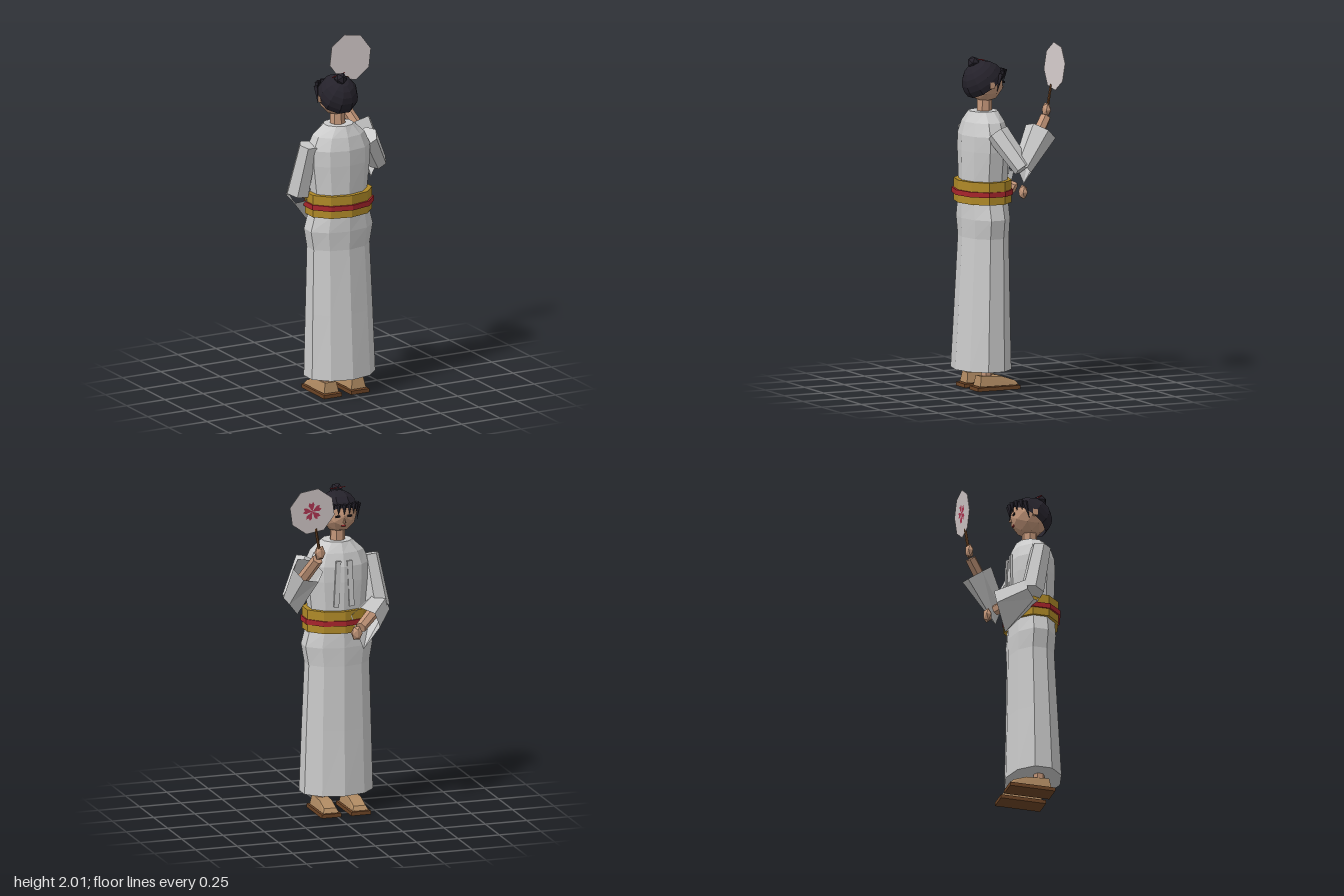
import * as THREE from 'three';

const material = (color, side = THREE.FrontSide) => new THREE.MeshStandardMaterial({ color, flatShading: true, side });
const cloth = material(0xcccccc, THREE.DoubleSide);
const skin = material(0xc4977a);
const hairMat = material(0x25222b, THREE.DoubleSide);
const gold = material(0xb08a28);
const red = material(0xa8252c);
const wood = material(0x6e4526);
const sock = material(0xb08a62);
const paper = material(0xd2c9c9, THREE.DoubleSide);
const pink = material(0xb03552, THREE.DoubleSide);
const dark = material(0x1c181c);
const V = (x, y, z) => new THREE.Vector3(x, y, z);

// Skin over a series of equal-sized rings of points
function loft(rings, capped = true) {
  const n = rings[0].length, index = [];
  const pos = rings.flat().flatMap(p => [p.x, p.y, p.z]);
  for (let r = 0; r < rings.length - 1; r++) {
    for (let i = 0; i < n; i++) {
      const a = r * n + i, b = r * n + (i + 1) % n;
      index.push(a, b, b + n, a, b + n, a + n);
    }
  }
  const last = (rings.length - 1) * n;
  for (let i = 1; capped && i < n - 1; i++) index.push(0, i + 1, i, last, last + i, last + i + 1);
  const g = new THREE.BufferGeometry();
  g.setAttribute('position', new THREE.Float32BufferAttribute(pos, 3));
  g.setIndex(index);
  g.computeVertexNormals();
  return g;
}

// Horizontal ten-sided oval of the body
const oval = ([y, rx, rz, cz]) => Array.from({ length: 10 }, (_, i) => {
  const t = i / 10 * Math.PI * 2;
  return V(-0.05 + rx * 1.05 * Math.sin(t), y, cz + rz * Math.cos(t));
});

// Six-sided ring around a limb axis
function limbRing(center, axis, r) {
  const q = new THREE.Quaternion().setFromUnitVectors(V(0, 1, 0), axis.clone().normalize());
  return Array.from({ length: 6 }, (_, i) => {
    const t = (i + 0.5) / 6 * Math.PI * 2;
    return V(r * Math.sin(t), 0, r * Math.cos(t)).applyQuaternion(q).add(center);
  });
}

// Pull the lowest corner of a ring down to a hanging tip
function droop(ring, tip) {
  let low = 0;
  ring.forEach((p, i) => { if (p.y < ring[low].y) low = i; });
  ring[low] = tip;
  return ring;
}

export function createModel() {
  const model = new THREE.Group();
  const add = (name, geo, mat, x = 0, y = 0, z = 0, parent = model) => {
    const m = new THREE.Mesh(geo, mat);
    m.name = name;
    m.position.set(x, y, z);
    parent.add(m);
    return m;
  };
  const rod = (name, a, b, r1, r2, mat, sides = 6) => {
    const d = b.clone().sub(a);
    const m = add(name, new THREE.CylinderGeometry(r2, r1, d.length(), sides), mat);
    m.position.copy(a).add(b).multiplyScalar(0.5);
    m.quaternion.setFromUnitVectors(V(0, 1, 0), d.normalize());
    return m;
  };
  const ball = (name, mat, x, y, z, sx, sy, sz, detail = 0) =>
    add(name, new THREE.IcosahedronGeometry(1, detail), mat, x, y, z).scale.set(sx, sy, sz);

  // Robe: hem, hips, waist, chest, shoulders, collar
  add('robe', loft([
    [0.115, 0.207, 0.163, 0.097], [0.5, 0.196, 0.147, 0.09], [0.88, 0.183, 0.134, 0.082],
    [0.99, 0.202, 0.138, 0.084], [1.08, 0.178, 0.135, 0.085], [1.21, 0.165, 0.132, 0.085],
    [1.38, 0.183, 0.137, 0.083], [1.47, 0.184, 0.135, 0.083], [1.545, 0.15, 0.115, 0.083],
    [1.605, 0.085, 0.085, 0.083],
  ].map(oval)), cloth);

  // Sash and its cord
  add('sash', loft([[1.08, 0.193, 0.157, 0.086], [1.21, 0.193, 0.157, 0.086]].map(oval)), gold);
  add('sashCord', loft([[1.125, 0.201, 0.168, 0.088], [1.155, 0.201, 0.168, 0.088]].map(oval)), red);

  // Lapel strips on the chest
  for (const s of [-1, 1]) {
    const strip = add('lapel', new THREE.BoxGeometry(0.03, 0.27, 0.012), cloth, -0.05 + s * 0.04, 1.37, -0.047);
    strip.rotation.z = s * 0.05;
  }

  // Feet, ankles and sandals
  const side = new THREE.Shape([[-0.165, 0.025], [-0.155, 0.085], [-0.02, 0.078], [0.06, 0.05], [0.078, 0.025]]
    .map(p => new THREE.Vector2(...p)));
  for (const x of [-0.14, 0.038]) {
    add('sandal', new THREE.BoxGeometry(0.118, 0.022, 0.27), wood, x, 0.011, 0.05);
    const foot = new THREE.ExtrudeGeometry(side, { depth: 0.096, bevelEnabled: false });
    foot.translate(0, 0, -0.048);
    const p = foot.attributes.position;
    for (let i = 0; i < p.count; i++) if (p.getY(i) > 0.04) p.setZ(i, p.getZ(i) * 0.75);
    add('foot', foot.rotateY(Math.PI / 2), sock, x, 0, 0);
    add('ankle', new THREE.CylinderGeometry(0.034, 0.032, 0.1, 6), skin, x, 0.12, 0.105);
  }

  // Raised arm: upper sleeve, forearm sleeve, forearm, hand
  const upAxis = V(-0.05, 0.2, -0.14);
  add('raisedUpperSleeve', loft([
    limbRing(V(0.265, 1.3, -0.02), V(-0.13, 0.2, 0.1), 0.055),
    limbRing(V(0.135, 1.495, 0.08), V(-0.13, 0.2, 0.1), 0.068)]), cloth);
  add('raisedForeSleeve', loft([
    droop(limbRing(V(0.255, 1.3, -0.02), upAxis, 0.055), V(0.23, 1.21, -0.04)),
    limbRing(V(0.205, 1.5, -0.16), upAxis, 0.094)], false), cloth);
  rod('raisedForearm', V(0.235, 1.4, -0.08), V(0.165, 1.575, -0.21), 0.036, 0.033, skin);
  ball('raisedHand', skin, 0.155, 1.615, -0.22, 0.034, 0.045, 0.027);

  // Lowered arm, folded across the sash
  const lowAxis = V(0.13, -0.06, -0.14);
  add('loweredUpperSleeve', loft([
    limbRing(V(-0.28, 1.2, 0.02), V(0.03, 0.3, 0.06), 0.07),
    limbRing(V(-0.245, 1.5, 0.085), V(0.03, 0.3, 0.06), 0.058)]), cloth);
  add('loweredForeSleeve', loft([
    limbRing(V(-0.28, 1.21, 0.02), lowAxis, 0.072),
    droop(limbRing(V(-0.155, 1.155, -0.12), lowAxis, 0.092), V(-0.15, 0.985, -0.1))], false), cloth);
  rod('loweredForearm', V(-0.22, 1.18, -0.05), V(-0.115, 1.13, -0.152), 0.036, 0.032, skin);
  ball('loweredHand', skin, -0.08, 1.11, -0.185, 0.036, 0.045, 0.027);

  // Neck and head
  rod('neck', V(-0.052, 1.57, 0.078), V(-0.052, 1.7, 0.075), 0.046, 0.043, skin, 7);
  ball('head', skin, -0.055, 1.765, 0.07, 0.106, 0.114, 0.109, 1);
  const cap = add('hair', new THREE.SphereGeometry(0.12, 10, 6, 0, Math.PI * 2, 0, Math.PI * 0.58), hairMat, -0.055, 1.772, 0.082);
  cap.rotation.x = 0.6;
  cap.scale.set(0.98, 1, 1.04);
  ball('hairBun', hairMat, -0.065, 1.882, 0.138, 0.038, 0.038, 0.038);
  rod('hairPin', V(-0.116, 1.895, 0.13), V(-0.015, 1.9, 0.093), 0.003, 0.003, red, 4);

  // Fringe points and longer side locks around the face
  for (let i = -4; i <= 4; i++) {
    const t = i * 0.3, lock = Math.abs(i) === 4;
    const y = lock ? 1.77 : 1.805;
    const spike = add(lock ? 'sideLock' : 'fringe', new THREE.ConeGeometry(0.015, lock ? 0.11 : 0.065, 4), hairMat,
      -0.055 + 0.112 * Math.sin(t), y, 0.07 - 0.112 * Math.cos(t));
    spike.rotation.x = Math.PI - (lock ? 0.25 : 0.1);
  }

  // Ears, eyes, nose and mouth
  for (const s of [-1, 1]) {
    add('ear', new THREE.BoxGeometry(0.018, 0.036, 0.028), skin, -0.055 + s * 0.108, 1.76, 0.075);
    add('eye', new THREE.BoxGeometry(0.026, 0.011, 0.008), dark, -0.055 + s * 0.036, 1.765, -0.03);
  }
  add('nose', new THREE.ConeGeometry(0.01, 0.028, 4), skin, -0.055, 1.742, -0.039);
  add('mouth', new THREE.BoxGeometry(0.024, 0.009, 0.008), red, -0.055, 1.708, -0.021);

  // Fan with handle and a five-petal flower on its face
  rod('fanHandle', V(0.15, 1.58, -0.22), V(0.185, 1.765, -0.236), 0.009, 0.008, wood);
  const fan = new THREE.Group();
  fan.name = 'fan';
  fan.position.set(0.21, 1.872, -0.246);
  fan.rotation.set(-0.08, 0, -0.16);
  model.add(fan);
  const disc = add('fanLeaf', new THREE.CylinderGeometry(0.139, 0.139, 0.003, 8), paper, 0, 0, 0, fan);
  disc.rotation.set(Math.PI / 2, 0.393, 0);
  disc.scale.y = 1;
  const petal = new THREE.ShapeGeometry(new THREE.Shape(
    [[0, 0], [0.018, 0.038], [0.013, 0.056], [0, 0.046], [-0.013, 0.056], [-0.018, 0.038]].map(p => new THREE.Vector2(...p))));
  for (let i = 0; i < 5; i++) add('petal', petal, pink, 0, 0, -0.004, fan).rotation.z = i * Math.PI * 0.4;

  return model;
}
